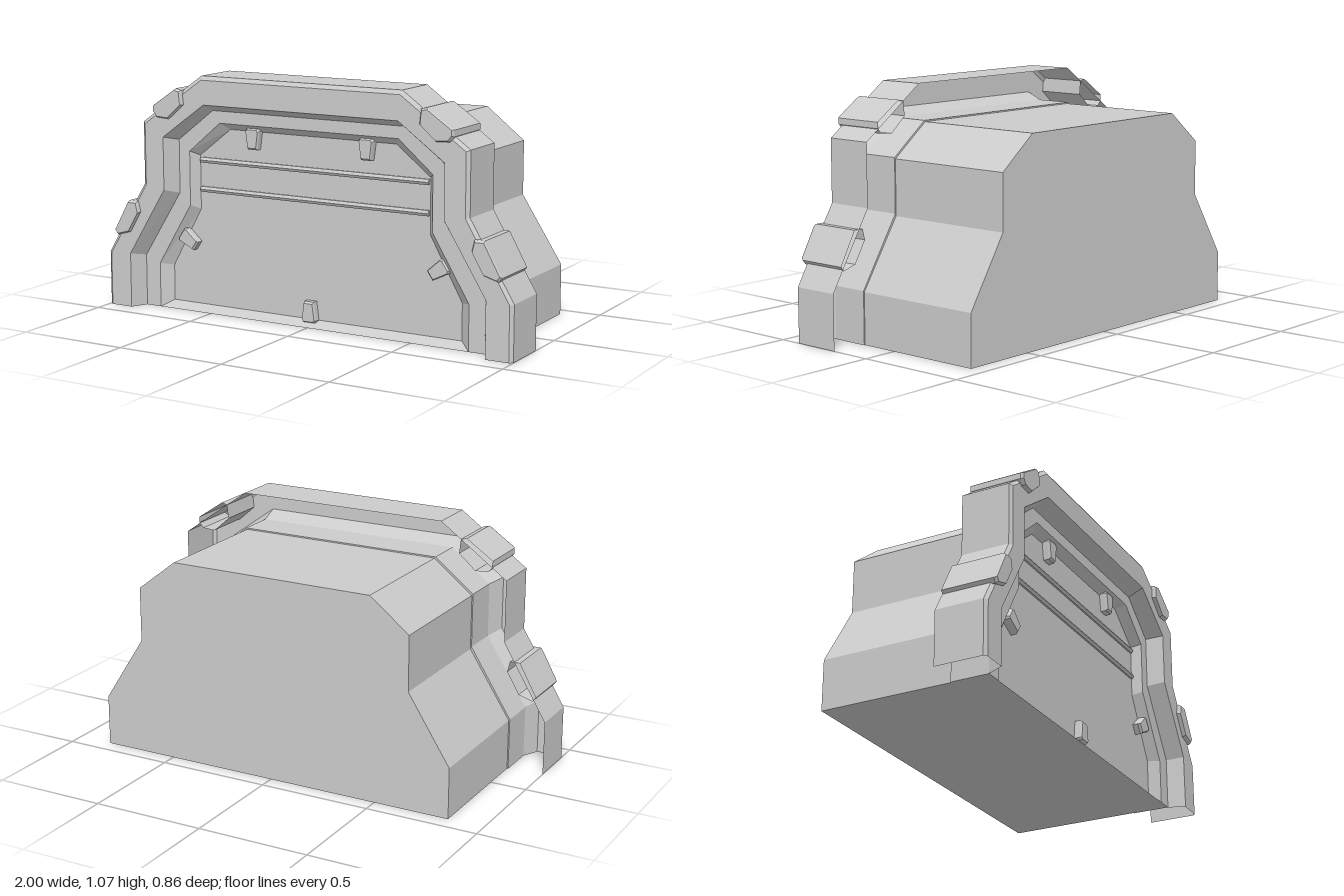
import * as THREE from 'three';

const mat = new THREE.MeshStandardMaterial({ color: 0xcccccc, flatShading: true, side: THREE.DoubleSide });

// Half outline (bottom to top, +x side) mirrored into a full arch
const arch = (half) => [...half, ...half.slice().reverse().map(([x, y]) => [-x, y])];

// Skin between successive outlines [points, z]; closed also joins last point to first
function loft(name, rings, closed) {
  const pos = [];
  for (let r = 0; r + 1 < rings.length; r++) {
    const [A, za] = rings[r], [B, zb] = rings[r + 1], n = A.length;
    for (let i = 0; i < (closed ? n : n - 1); i++) {
      const j = (i + 1) % n;
      const a = [...A[i], za], b = [...A[j], za], c = [...B[i], zb], d = [...B[j], zb];
      pos.push(...a, ...b, ...c, ...b, ...d, ...c);
    }
  }
  const geo = new THREE.BufferGeometry();
  geo.setAttribute('position', new THREE.Float32BufferAttribute(pos, 3));
  geo.computeVertexNormals();
  return named(name, geo);
}

function named(name, geo) {
  const mesh = new THREE.Mesh(geo, mat);
  mesh.name = name;
  return mesh;
}

// Flat face filling an outline, facing +z or -z
function cap(name, pts, z, back = false) {
  const geo = new THREE.ShapeGeometry(new THREE.Shape(pts.map(([x, y]) => new THREE.Vector2(x, y))));
  if (back) geo.rotateY(Math.PI); // outlines are symmetric in x
  geo.translate(0, 0, z);
  return named(name, geo);
}

const scaleAbout = (pts, s) => {
  const cx = pts.reduce((t, p) => t + p[0], 0) / pts.length;
  const cy = pts.reduce((t, p) => t + p[1], 0) / pts.length;
  return pts.map(([x, y]) => [cx + (x - cx) * s, cy + (y - cy) * s]);
};

// Raised block with bevelled front edge
function block(name, pts, z0, z1, bevel, s) {
  const g = new THREE.Group();
  g.name = name;
  const top = scaleAbout(pts, s);
  g.add(loft(name + 'Sides', [[pts, z0], [pts, z1 - bevel], [top, z1]], true), cap(name + 'Face', top, z1));
  return g;
}

const flip = (pts) => pts.map(([x, y]) => [-x, y]).reverse();

export function createModel() {
  const model = new THREE.Group();

  const outer = arch([[1, 0], [1, 0.24], [0.8, 0.57], [0.8, 0.845], [0.49, 1.065]]);
  const outerFront = arch([[0.985, 0], [0.985, 0.237], [0.785, 0.567], [0.785, 0.838], [0.485, 1.047]]);
  const lip = arch([[0.88, 0], [0.88, 0.245], [0.69, 0.55], [0.69, 0.785], [0.475, 0.94]]);
  const mouth = arch([[0.845, 0], [0.845, 0.23], [0.655, 0.53], [0.655, 0.768], [0.475, 0.908]]);
  const body = arch([[0.84, 0], [0.84, 0.225], [0.65, 0.52], [0.65, 0.762], [0.47, 0.902]]);
  const rim = arch([[0.77, 0], [0.77, 0.2], [0.6, 0.48], [0.6, 0.72], [0.44, 0.855]]);
  const panel = arch([[0.72, 0.03], [0.72, 0.19], [0.57, 0.46], [0.57, 0.7], [0.41, 0.825]]);
  const flatZ = 0.34, panelZ = 0.3;

  // Main housing with a slight collar near the front
  model.add(loft('housing', [[body, -0.43], [body, 0.17], [mouth, 0.17], [mouth, flatZ]], true));
  model.add(cap('housingBack', body, -0.43, true));

  // Front frame: outer wall, chamfer, face, inner bevel and flat surround
  model.add(loft('frontFrame',
    [[outer, 0.185], [outer, 0.4], [outerFront, 0.412], [lip, 0.412], [mouth, flatZ], [rim, flatZ]], false));

  // Recessed front panel
  model.add(loft('panelBevel', [[rim, flatZ], [panel, panelZ]], true));
  model.add(cap('panel', panel, panelZ));

  // Horizontal ribs
  for (const y of [0.55, 0.68]) {
    const rib = named('rib', new THREE.CylinderGeometry(0.014, 0.014, 1.13, 6));
    rib.rotation.z = Math.PI / 2;
    rib.position.set(0, y, panelZ);
    model.add(rib);
  }

  // Clamps on the slanted edges of the frame
  const upperClamp = [[0.735, 0.895], [0.735, 0.922], [0.612, 1.005], [0.585, 0.998],
    [0.578, 0.935], [0.655, 0.868], [0.715, 0.872]].reverse();
  const lowerClamp = [[0.955, 0.345], [0.875, 0.488], [0.83, 0.488], [0.818, 0.44],
    [0.875, 0.345], [0.94, 0.326]].reverse();
  lowerClamp.reverse();
  upperClamp.reverse();
  // Upper outline runs clockwise when listed from the outside corner upward on +x
  for (const [name, pts] of [['upperClamp', upperClamp], ['lowerClamp', lowerClamp]]) {
    model.add(block(name + 'Left', pts, 0.185, 0.43, 0.012, 0.9));
    model.add(block(name + 'Right', flip(pts), 0.185, 0.43, 0.012, 0.9));
  }

  // Tapered tabs around the panel: wide end outward, pointing inward along angle
  const tab = (x, y, angle) => {
    const g = block('tab', [[-0.024, -0.046], [0.024, -0.046], [0.035, 0.036], [0.028, 0.046],
      [-0.028, 0.046], [-0.035, 0.036]], 0, 0.04, 0.01, 0.86);
    g.position.set(x, y, panelZ - 0.005);
    g.rotation.z = angle;
    model.add(g);
  };
  tab(0, 0.067, Math.PI);
  for (const s of [-1, 1]) {
    tab(s * 0.28, 0.795, 0);
    tab(s * 0.62, 0.32, -s * 0.98);
  }
  return model;
}
